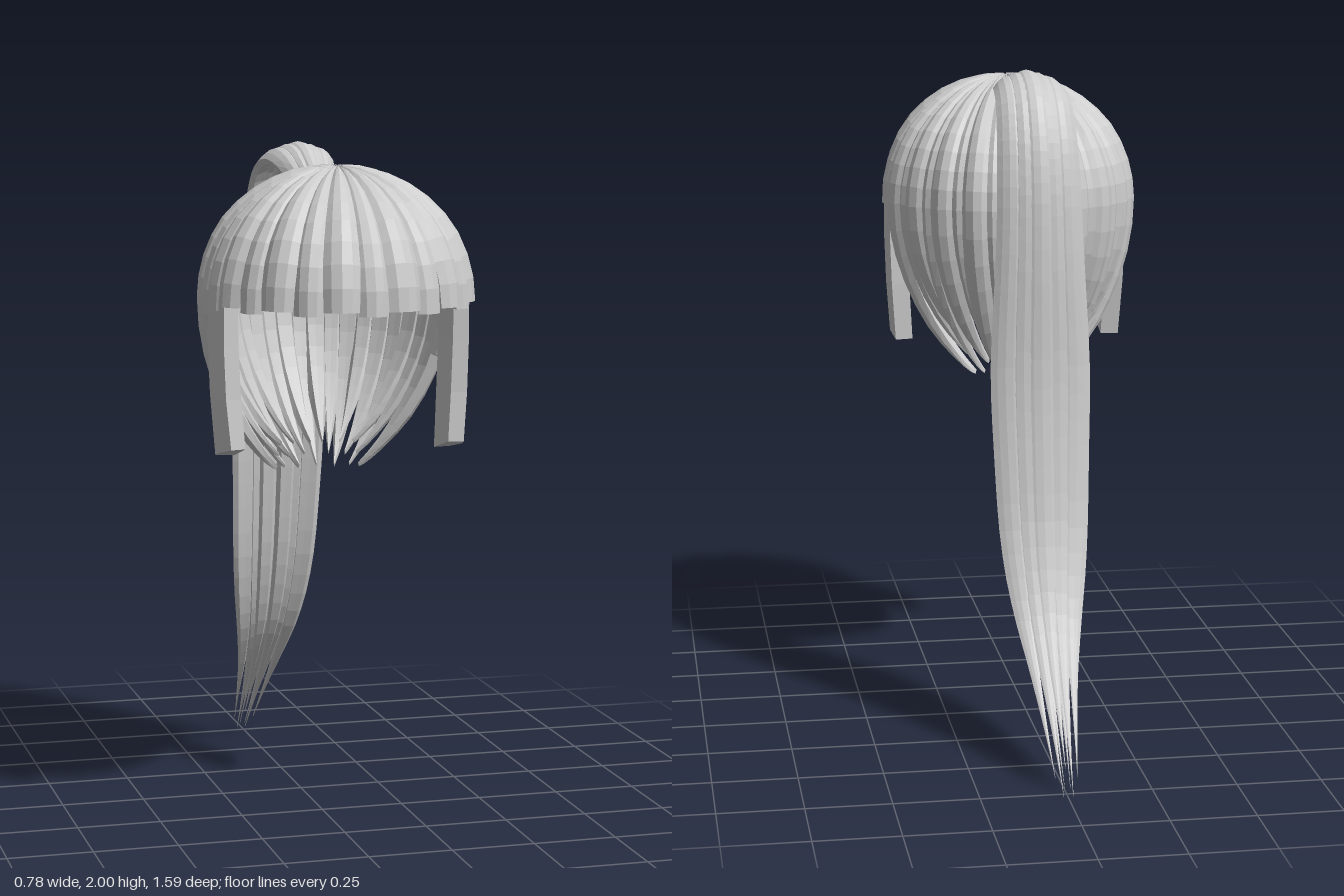
import * as THREE from 'three';

const V = (x, y, z) => new THREE.Vector3(x, y, z);
const rad = THREE.MathUtils.degToRad;
const material = new THREE.MeshStandardMaterial({ color: 0xcccccc, flatShading: true });

// 0 before the start, rising to 1 at the end
const ramp = (t, start, end) => THREE.MathUtils.clamp((t - start) / (end - start), 0, 1);

// Closed skin over a list of rings, with capped ends, always facing outwards
function loft(name, rings) {
  const n = rings[0].length, pts = rings.flat(), index = [];
  for (let i = 0; i < rings.length - 1; i++) {
    for (let j = 0; j < n; j++) {
      const a = i * n + j, b = i * n + (j + 1) % n;
      index.push(a, b, a + n, b, b + n, a + n);
    }
  }
  const last = (rings.length - 1) * n;
  for (let j = 1; j < n - 1; j++) {
    index.push(0, j + 1, j, last, last + j, last + j + 1);
  }
  let volume = 0;
  for (let i = 0; i < index.length; i += 3) {
    volume += pts[index[i]].dot(V(0, 0, 0).crossVectors(pts[index[i + 1]], pts[index[i + 2]]));
  }
  if (volume < 0) index.reverse();
  const geometry = new THREE.BufferGeometry().setFromPoints(pts);
  geometry.setIndex(index);
  geometry.computeVertexNormals();
  const mesh = new THREE.Mesh(geometry, material);
  mesh.name = name;
  return mesh;
}

// Lock cross-section: [side position, is outer]; bulging outside, flatter inside
const section = [[-1, 1], [-0.55, 1], [0, 1], [0.55, 1], [1, 1], [0.6, 0], [0, 0], [-0.6, 0]];

// Head surface: angle a from the front; t 0..1 crown to widest line, 1..2 down to the nape
const centre = V(0, 1.55, 0.36);
function head(a, t, tipY) {
  const s = Math.sin(a), c = Math.cos(a);
  const rz = c > 0 ? 0.38 : 0.455, baseY = c > 0 ? 1.565 : 1.565 - 0.02 * c;
  if (t <= 1) {
    const f = t * Math.PI / 2, r = Math.sin(f);
    return V(0.37 * s * r, baseY + (1.945 - baseY) * Math.cos(f), 0.405 + rz * c * r);
  }
  const f = (t - 1) * Math.PI / 2, k = Math.max(0, Math.cos(f)) ** 1.8;
  const tx = 0.13 * s, tz = 0.2 + 0.02 * c;
  return V(tx + (0.37 * s - tx) * k, baseY - (baseY - tipY) * Math.sin(f), tz + (0.405 + rz * c - tz) * k);
}

// Lock lying on the head
function headLock(name, { angle, half, end, steps, tipY = 1.08, layer, taper }) {
  const rings = [];
  for (let i = 0; i <= steps; i++) {
    const t = 0.03 + (end - 0.03) * i / steps;
    const w = half * taper(t), fade = Math.min(1, 0.25 + t * 1.2) * (1 - 0.75 * ramp(t, 1.5, 2));
    rings.push(section.map(([u, outer]) => {
      const p = head(angle + u * w, t, tipY);
      const lift = outer ? 0.022 * (1 - u * u) + layer : -0.018;
      return p.addScaledVector(p.clone().sub(centre).normalize(), lift * fade);
    }));
  }
  return loft(name, rings);
}

// Ponytail spine: x holds the half width
const spine = new THREE.CatmullRomCurve3([
  V(0.055, 1.87, 0.15), V(0.09, 1.945, 0.05), V(0.105, 1.96, -0.05), V(0.112, 1.925, -0.15),
  V(0.118, 1.83, -0.215), V(0.123, 1.7, -0.253), V(0.13, 1.5, -0.272), V(0.148, 1.15, -0.28),
  V(0.142, 0.9, -0.305), V(0.13, 0.65, -0.35), V(0.105, 0.45, -0.425), V(0.08, 0.3, -0.53),
  V(0.058, 0.15, -0.66), V(0.038, 0.005, -0.785),
]);

// Lock of the ponytail, running beside the spine
function tailLock(name, { side, half, end, lift }) {
  const rings = [], steps = 40;
  for (let i = 0; i <= steps; i++) {
    const t = end * i / steps, p = spine.getPoint(t), d = spine.getTangent(t);
    const normal = V(0, -d.z, d.y).normalize();
    const taper = Math.max(0.04, 1 - ramp(t, 0.75 * end, end) ** 1.3);
    const depth = 0.04 * (1 - 0.75 * t) * (0.35 + 0.65 * taper);
    rings.push(section.map(([u, outer]) => {
      const x = side + u * half * taper;
      const arch = 1 - 1.1 * x * x;
      const n = depth * (arch + lift + (outer ? 0.3 * (1 - u * u) - 0.25 : -0.95));
      return V(x * p.x, p.y, p.z).addScaledVector(normal, n);
    }));
  }
  return loft(name, rings);
}

// Blunt lock hanging in front of the ear
function sideLock(s) {
  const rows = [
    // y, outer x, inner x, front z, back z
    [1.72, 0.35, 0.31, 0.50, 0.37], [1.58, 0.382, 0.32, 0.515, 0.36], [1.45, 0.383, 0.318, 0.517, 0.358],
    [1.3, 0.378, 0.312, 0.52, 0.362], [1.14, 0.366, 0.302, 0.53, 0.375],
  ];
  return loft(s > 0 ? 'leftSideLock' : 'rightSideLock', rows.map(([y, xo, xi, zf, zb], i) => {
    const tilt = i === rows.length - 1 ? 0.018 : 0;
    return [V(s * (xo - 0.02), y + tilt, zf), V(s * xo, y, (zf + zb) / 2), V(s * (xo - 0.01), y - tilt, zb),
      V(s * xi, y - tilt, zb + 0.01), V(s * xi, y + tilt, zf - 0.01)];
  }));
}

export function createModel() {
  const model = new THREE.Group();
  model.name = 'ponytailHair';
  const group = (name) => {
    const g = new THREE.Group();
    g.name = name;
    model.add(g);
    return g;
  };

  // Fringe: broad blunt locks around the front
  const fringe = group('fringe');
  for (let i = -5; i <= 5; i++) {
    const odd = Math.abs(i) % 2;
    fringe.add(headLock('fringeLock', {
      angle: rad(i * 14.2), half: rad(odd ? 8.6 : 7.6), end: odd ? 1 : 1.015, steps: 9,
      layer: odd ? 0.004 : -0.003, taper: (t) => 1 - 0.11 * ramp(t, 0.75, 1),
    }));
  }

  // Side hair above the ears
  const sides = group('sideHair');
  for (const s of [-1, 1]) {
    sides.add(sideLock(s));
    sides.add(headLock('templeLock', {
      angle: rad(s * 85), half: rad(10), end: 1.02, steps: 9, layer: -0.002, taper: () => 1,
    }));
    sides.add(headLock('earLock', {
      angle: rad(s * 99), half: rad(8), end: 1.25, steps: 12, layer: -0.004,
      taper: (t) => 1 - 0.4 * ramp(t, 1, 1.25),
    }));
  }

  // Back hair: narrow layered locks gathering to points at the nape
  const back = group('backHair');
  const count = 19;
  for (let i = 0; i < count; i++) {
    const k = Math.abs(i - (count - 1) / 2);
    back.add(headLock('backLock', {
      angle: rad(106 + 148 * i / (count - 1)), half: rad(k % 2 ? 6.6 : 5.4), end: 1.97, steps: 20,
      tipY: 1.05 + 0.035 * (k * 2 % 3), layer: k % 2 ? 0.008 : -0.004,
      taper: (t) => Math.max(0.1, 1 - ramp(t, 1.45, 1.97) ** 1.5),
    }));
  }

  // Ponytail: overlapping locks with uneven pointed tips
  const tail = group('ponytail');
  tail.add(tailLock('tailCentreLock', { side: 0, half: 0.3, end: 0.965, lift: 0.15 }));
  for (const s of [-1, 1]) {
    tail.add(tailLock('tailInnerLock', { side: s * 0.36, half: 0.27, end: 1, lift: 0.05 }));
    tail.add(tailLock('tailOuterLock', { side: s * 0.72, half: 0.28, end: 0.975, lift: 0.1 }));
    tail.add(tailLock('tailUnderLock', { side: s * 0.2, half: 0.2, end: 0.99, lift: -0.5 }));
  }
  return model;
}
